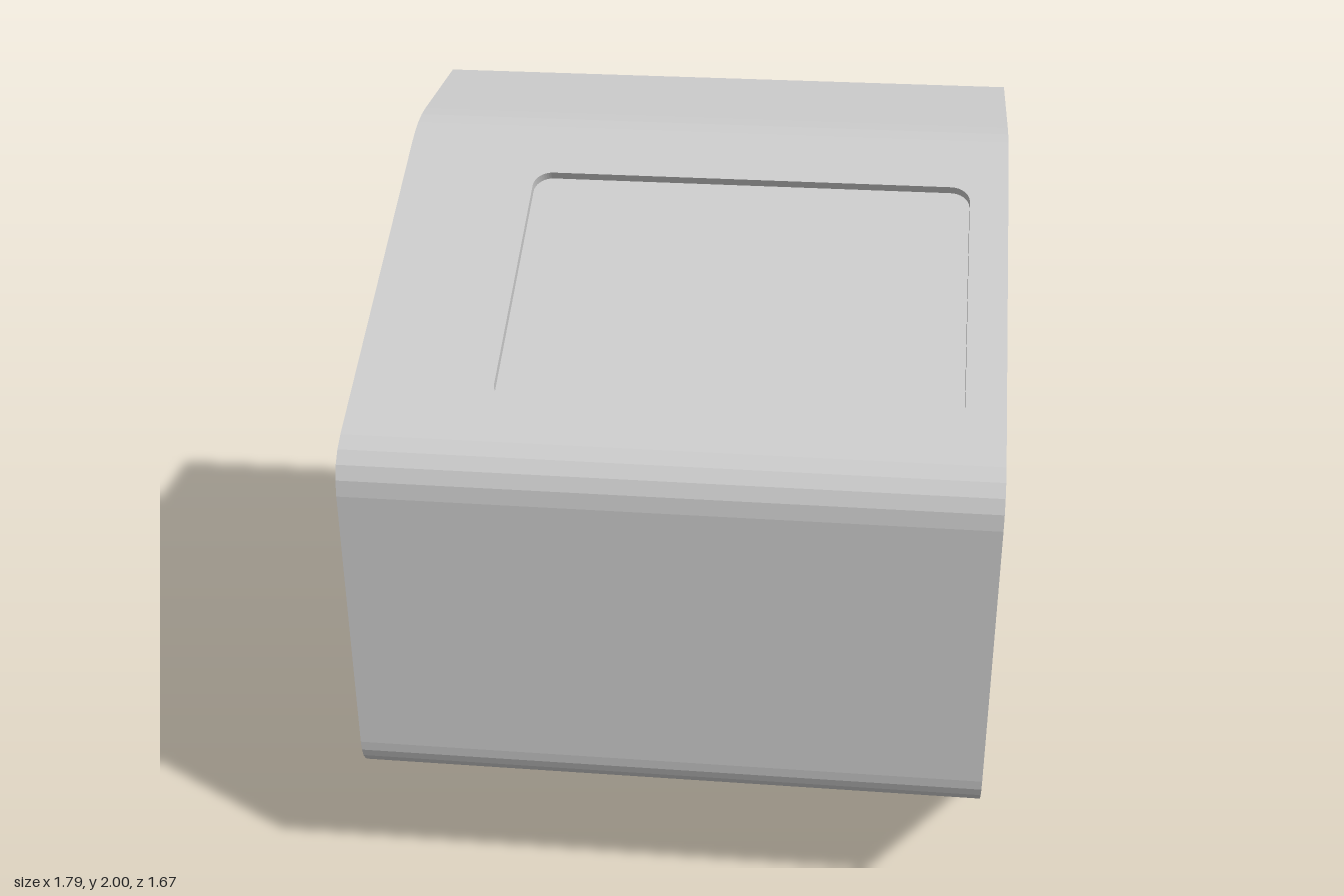
import * as THREE from 'three';

const HALF_WIDTH = 0.896;
const SLOPE = Math.atan(0.491); // tilt of the upper front face
const POCKET_DEPTH = 0.025;
const slopeY = (z) => 1.836 - 0.491 * z;

// Outline from [z, y, round] corners; round is the length cut off each side.
function roundedOutline(corners) {
  const shape = new THREE.Shape();
  const pts = corners.map(([z, y]) => new THREE.Vector2(-z, y));
  const n = pts.length;
  const toward = (a, b, t) => a.clone().add(b.clone().sub(a).setLength(t));
  pts.forEach((p, i) => {
    const t = corners[i][2] || 0;
    const start = t ? toward(p, pts[(i + n - 1) % n], t) : p;
    if (i === 0) shape.moveTo(start.x, start.y);
    else shape.lineTo(start.x, start.y);
    if (t) {
      const end = toward(p, pts[(i + 1) % n], t);
      shape.quadraticCurveTo(p.x, p.y, end.x, end.y);
    }
  });
  shape.closePath();
  return shape;
}

function roundedRect(path, x0, y0, x1, y1, r) {
  path.moveTo(x0 + r, y0);
  path.absarc(x1 - r, y0 + r, r, -Math.PI / 2, 0);
  path.absarc(x1 - r, y1 - r, r, 0, Math.PI / 2);
  path.absarc(x0 + r, y1 - r, r, Math.PI / 2, Math.PI);
  path.absarc(x0 + r, y0 + r, r, Math.PI, Math.PI * 1.5);
  path.closePath();
  return path;
}

export function createModel() {
  const group = new THREE.Group();
  const material = new THREE.MeshStandardMaterial({ color: 0xcccccc });

  // Seat in the sloped face that receives the framed panel
  const zLow = 0.66, zHigh = -0.18;
  const sink = (z) => [
    z - POCKET_DEPTH * Math.sin(SLOPE),
    slopeY(z) - POCKET_DEPTH * Math.cos(SLOPE),
  ];

  // Bent, constant-section bracket
  const outline = roundedOutline([
    [-0.495, 0],
    [-0.495, 0.17],
    [-0.157, 0.385],
    [0.17, 0.385, 0.085],
    [0.387, 0.527, 0.08],
    [0.387, 1.137, 0.1],
    [-0.59, 1.648, 0.115],
    [-0.835, 1.648],
    [-0.835, 2],
    [-0.333, 2, 0.1],
    [zHigh, slopeY(zHigh)],
    sink(zHigh),
    sink(zLow),
    [zLow, slopeY(zLow)],
    [0.835, slopeY(0.835), 0.1],
    [0.835, 0.444, 0.065],
    [0.175, 0],
  ]);
  const bodyGeometry = new THREE.ExtrudeGeometry(outline, {
    depth: HALF_WIDTH * 2, bevelEnabled: false, curveSegments: 4,
  });
  bodyGeometry.translate(0, 0, -HALF_WIDTH).rotateY(Math.PI / 2);
  const body = new THREE.Mesh(bodyGeometry, material);
  body.name = 'bracketBody';
  group.add(body);

  // Flush panel with a rounded opening that forms the shallow pocket
  const along = (z) => (zLow - z) / Math.cos(SLOPE);
  const frame = new THREE.Shape();
  frame.moveTo(-HALF_WIDTH, 0);
  frame.lineTo(HALF_WIDTH, 0);
  frame.lineTo(HALF_WIDTH, along(zHigh));
  frame.lineTo(-HALF_WIDTH, along(zHigh));
  frame.closePath();
  frame.holes.push(roundedRect(new THREE.Path(), -0.503, along(0.618), 0.785, along(-0.15), 0.055));
  const panel = new THREE.Mesh(
    new THREE.ExtrudeGeometry(frame, { depth: POCKET_DEPTH, bevelEnabled: false, curveSegments: 6 }),
    material,
  );
  panel.name = 'pocketFrame';
  const [z0, y0] = sink(zLow);
  panel.position.set(0, y0, z0);
  panel.rotation.x = SLOPE - Math.PI / 2;
  group.add(panel);

  return group;
}
